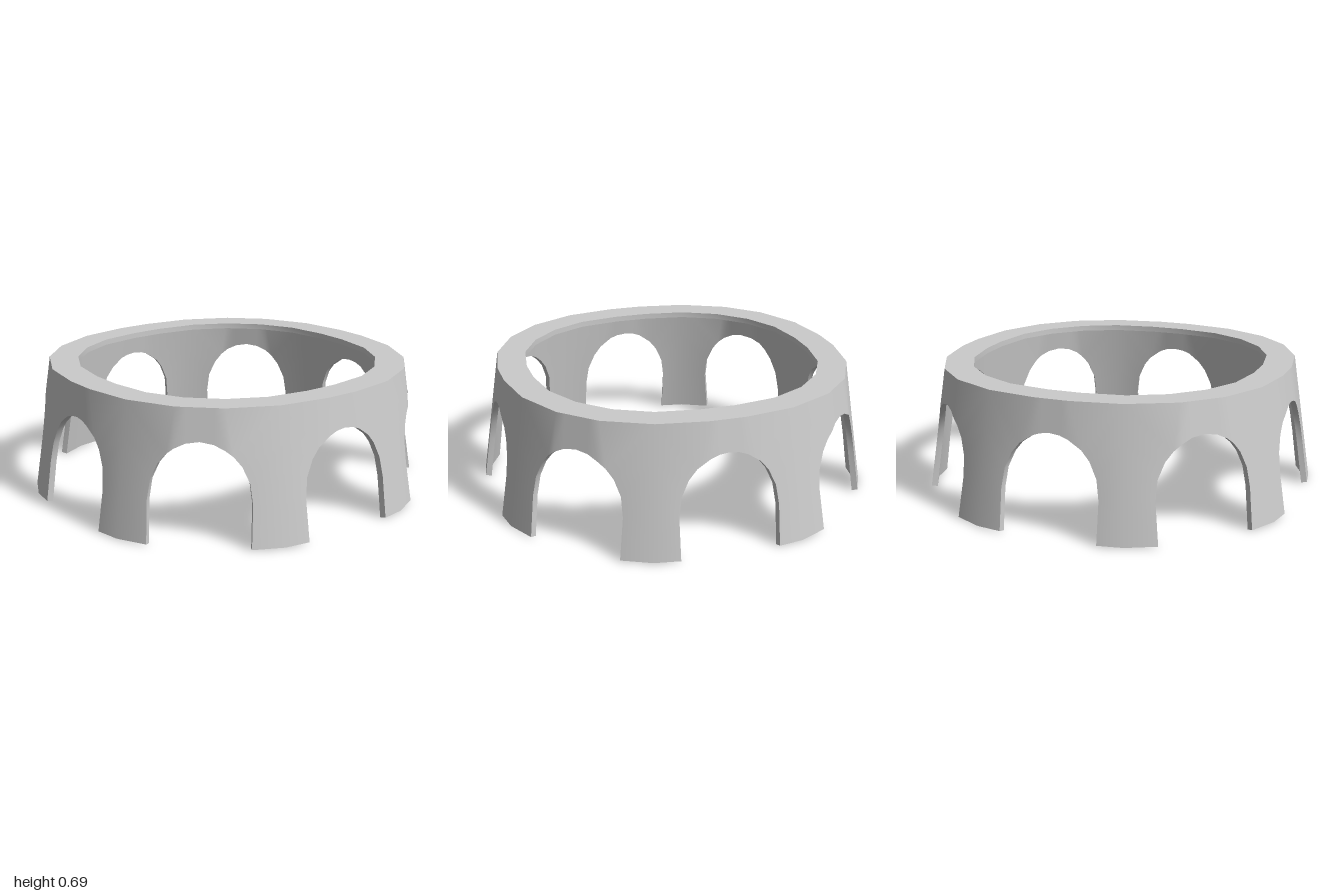
import * as THREE from 'three';
import { toCreasedNormals } from 'three/addons/utils/BufferGeometryUtils.js';

const H = 0.69;         // total height
const LIP = 0.03;       // thickness of the top lip
const INNER = 0.969;    // inner wall surface relative to the outer one
const FLARE = 0.11;     // widening from top to bottom
const FOOT = 0.005;     // the outer foot edge sits slightly above the inner one
const SPRING = 0.22;    // height where the arch starts to curve
const RISE = 0.307;     // height of the curved part
const HALF_WIDTH = 0.258;

// Corners of one eighth of the outer and inner outlines
const OUTER_CORNERS = [[0.092, 0.925], [0.352, 0.882], [0.592, 0.762]];
const HOLE_CORNERS = [[0.09, 0.77], [0.31, 0.735], [0.495, 0.64]];

// Half bay: [b, db] = middle facet corner, [e, de] = leg corner, as offset and distance
const [[x0, z0], [x1, z1], [x2, z2]] = OUTER_CORNERS;
const AXIS_BAY = { b: x0, db: z0, e: x1, de: z1 };
const DIAGONAL_BAY = {
  b: (z2 - x2) * Math.SQRT1_2, db: (z2 + x2) * Math.SQRT1_2,
  e: (z1 - x1) * Math.SQRT1_2, de: (z1 + x1) * Math.SQRT1_2,
};

const flare = (y) => 1 + FLARE * (1 - y / H);
const archY = (u) => SPRING + RISE * Math.sqrt(Math.max(0, 1 - (u / HALF_WIDTH) ** 2));

// Point on the faceted, flared wall: f runs along the bay, y is the height
function wallPoint(bay, angle, side, f, y, k) {
  const t = Math.max(0, (f - bay.b) / (bay.e - bay.b));
  const s = flare(y) * k;
  const d = (bay.db + (bay.de - bay.db) * t) * s;
  const u = f * side * s;
  const sin = Math.sin(angle), cos = Math.cos(angle);
  return [u * cos + d * sin, y, d * cos - u * sin];
}

// Matching rows of points: along the arch, and along the leg centre line and top edge
function bayRows({ b, e }) {
  const arch = [[HALF_WIDTH / flare(0), 0]];
  for (const q of [1, 0.94, 0.79, 0.63]) {
    const y = archY(HALF_WIDTH * q);
    arch.push([(HALF_WIDTH * q) / flare(y), y]);
  }
  for (const f of [b, b * 0.55, 0]) arch.push([f, archY(f * 1.027)]);
  const edge = [[e, 0], [e, SPRING], [e, 0.36], [e, 0.5], [e, H], [b, H], [b * 0.55, H], [0, H]];
  return { arch, edge };
}

function arcadeGeometry() {
  const pos = [];
  const quad = (a, b, c, d, flip) => {
    const list = flip ? [a, c, b, a, d, c] : [a, b, c, a, c, d];
    for (const p of list) pos.push(...p);
  };
  for (let i = 0; i < 8; i++) {
    const bay = i % 2 ? DIAGONAL_BAY : AXIS_BAY;
    const { arch, edge } = bayRows(bay);
    for (const side of [1, -1]) {
      const flip = side < 0;
      const place = (row, k, foot) =>
        row.map(([f, y]) => wallPoint(bay, (i * Math.PI) / 4, side, f, Math.max(y, foot), k));
      const po = place(arch, 1, FOOT), qo = place(edge, 1, FOOT);
      const pi = place(arch, INNER, 0), qi = place(edge, INNER, 0);
      for (let j = 0; j < arch.length - 1; j++) {
        quad(po[j], qo[j], qo[j + 1], po[j + 1], flip);   // outside
        quad(pi[j], qi[j], qi[j + 1], pi[j + 1], !flip);  // inside
        quad(po[j], po[j + 1], pi[j + 1], pi[j], flip);   // arch reveal
      }
      quad(po[0], pi[0], qi[0], qo[0], flip);             // foot
    }
  }
  const g = new THREE.BufferGeometry();
  g.setAttribute('position', new THREE.Float32BufferAttribute(pos, 3));
  return toCreasedNormals(g, 0.7);
}

// Closed counter-clockwise outline from the three corners of one eighth
function outline(corners) {
  const quarter = [...corners, ...corners.map(([x, y]) => [y, x]).reverse()];
  const pts = [];
  for (let i = 0; i < 4; i++) {
    for (const [x, y] of quarter) {
      pts.push(new THREE.Vector2(x, y).rotateAround(new THREE.Vector2(), (-i * Math.PI) / 2));
    }
  }
  return pts.reverse();
}

function lipGeometry() {
  const shape = new THREE.Shape(outline(OUTER_CORNERS));
  shape.holes.push(new THREE.Path(outline(HOLE_CORNERS)));
  const g = new THREE.ExtrudeGeometry(shape, { depth: LIP, bevelEnabled: false });
  g.rotateX(-Math.PI / 2).translate(0, H - LIP, 0);
  return toCreasedNormals(g, 0.7);
}

export function createModel() {
  const material = new THREE.MeshStandardMaterial({ color: 0xcccccc });
  const group = new THREE.Group();
  group.name = 'archedRing';

  const wall = new THREE.Mesh(arcadeGeometry(), material);
  wall.name = 'arcadeWall';
  const lip = new THREE.Mesh(lipGeometry(), material);
  lip.name = 'topLip';

  group.add(wall, lip);
  return group;
}
